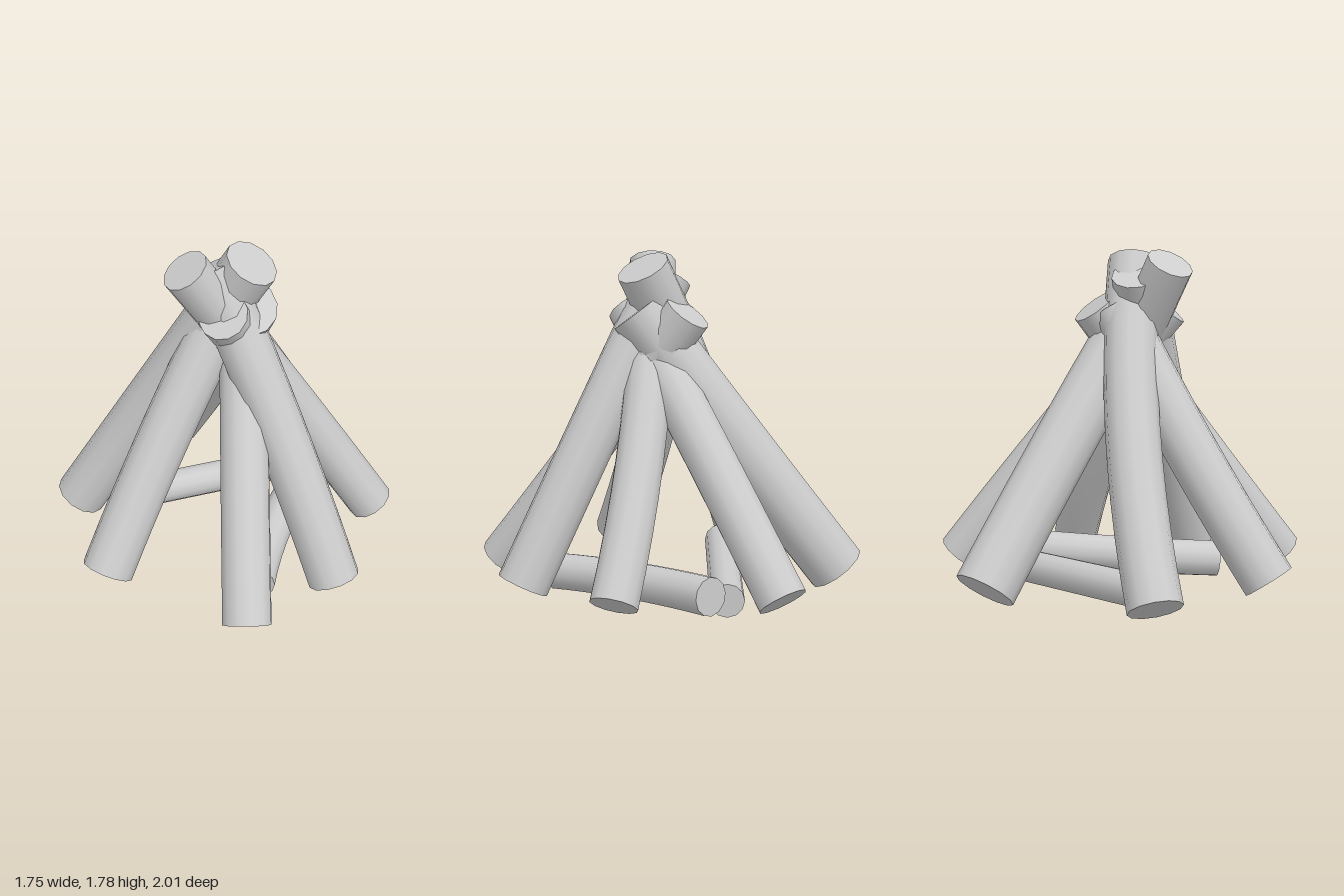
import * as THREE from 'three';

const SIDES = 12, STEPS = 10;

// Flat discs that close both ends of a swept log
function endCaps(tube) {
  const p = tube.attributes.position, out = [];
  const at = (ring, j) => new THREE.Vector3().fromBufferAttribute(p, ring * (SIDES + 1) + j);
  for (const ring of [0, STEPS]) {
    const centre = new THREE.Vector3();
    for (let j = 0; j < SIDES; j++) centre.addScaledVector(at(ring, j), 1 / SIDES);
    for (let j = 0; j < SIDES; j++) {
      const a = at(ring, j), b = at(ring, j + 1);
      const tri = ring === 0 ? [centre, a, b] : [centre, b, a];
      tri.forEach(v => out.push(v.x, v.y, v.z));
    }
  }
  const g = new THREE.BufferGeometry();
  g.setAttribute('position', new THREE.Float32BufferAttribute(out, 3));
  g.computeVertexNormals();
  return g;
}

// A slightly bowed log from foot to tip; bow shifts its middle
function makeLog(name, radius, foot, tip, bow, material) {
  const a = new THREE.Vector3(...foot), b = new THREE.Vector3(...tip);
  const mid = a.clone().add(b).multiplyScalar(0.5).addScaledVector(new THREE.Vector3(...bow), 2);
  const curve = new THREE.QuadraticBezierCurve3(a, mid, b);
  const tube = new THREE.TubeGeometry(curve, STEPS, radius, SIDES, false);
  const log = new THREE.Group();
  log.name = name;
  const bark = new THREE.Mesh(tube, material);
  bark.name = name + 'Side';
  const ends = new THREE.Mesh(endCaps(tube), material);
  ends.name = name + 'Ends';
  log.add(bark, ends);
  return log;
}

export function createModel() {
  const wood = new THREE.MeshStandardMaterial({ color: 0xcccccc });
  wood.name = 'paleGrey';
  const model = new THREE.Group();
  model.name = 'logPile';

  const logs = [
    // Leaning logs, crossing near the top
    ['backLog', 0.155, [-0.105, 0.147, -0.88], [0.08, 1.49, 0.13], [0.02, 0, 0]],
    ['backLeftLog', 0.125, [0.61, 0.165, -0.67], [-0.05, 1.49, 0.19], [0.01, 0, -0.01]],
    ['leftLog', 0.121, [0.78, 0.155, 0.12], [-0.22, 1.715, 0.11], [0, 0, -0.05]],
    ['frontLeftLog', 0.134, [0.43, 0.13, 0.66], [-0.07, 1.66, 0.01], [0.02, 0, 0]],
    ['frontLog', 0.124, [-0.08, 0.13, 0.905], [0.12, 1.49, -0.13], [0, 0, -0.01]],
    ['frontRightLog', 0.134, [-0.7, 0.155, 0.39], [0.05, 1.47, -0.04], [-0.01, 0, -0.03]],
    ['backRightLog', 0.137, [-0.75, 0.12, -0.305], [0.11, 1.71, 0.1], [0.03, 0, -0.05]],
    // Logs lying on the ground
    ['lyingSideLog', 0.097, [0.04, 0.1, 0.58], [0.59, 0.165, -0.32], [-0.05, 0, 0]],
    ['lyingBackLog', 0.087, [-0.58, 0.145, -0.21], [0.43, 0.1, -0.38], [0, 0, 0]],
  ];
  for (const [name, radius, foot, tip, bow] of logs) {
    model.add(makeLog(name, radius, foot, tip, bow, wood));
  }
  return model;
}
